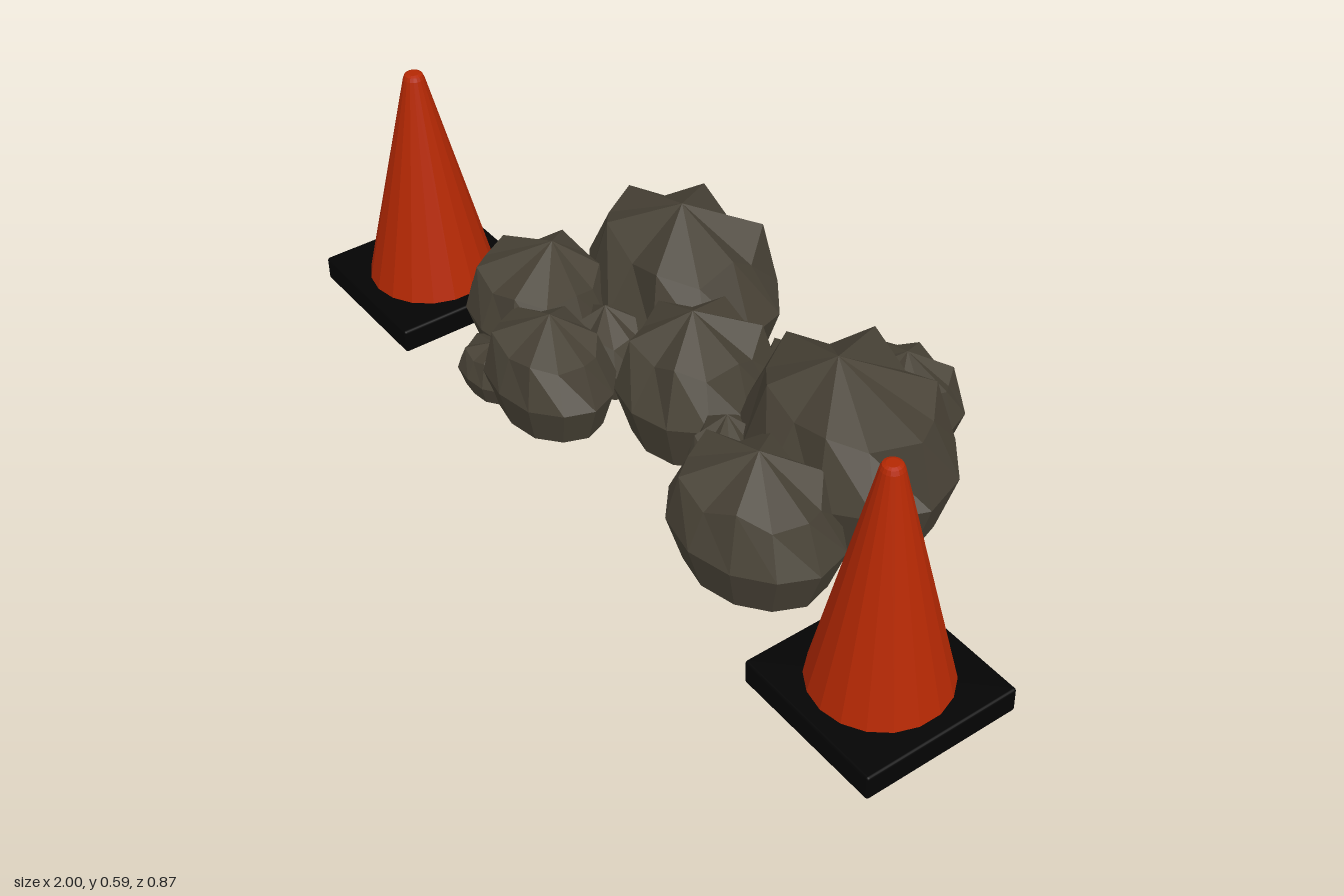
import * as THREE from 'three';
import { RoundedBoxGeometry } from 'three/addons/geometries/RoundedBoxGeometry.js';

// small seeded generator for the rock facets
function seeded(seed) {
  let s = seed * 7919 + 17;
  return () => {
    s = (s * 16807) % 2147483647;
    return s / 2147483647;
  };
}

// Faceted boulder: flat bottom, wide waist, ridged shoulder and a peak
function rockGeometry(rx, rz, height, apexX, apexZ, seed) {
  const sides = 12;
  const rand = seeded(seed);
  for (let i = 0; i < 5; i++) rand();
  const profile = [[0, 0], [0.81, 0], [1, 0.385], [0.77, 0.745], [0, 1]];
  const geo = new THREE.LatheGeometry(profile.map(([r, y]) => new THREE.Vector2(r, y)), sides);
  const column = Array.from({ length: sides }, () => 0.95 + rand() * 0.09);
  // shoulder points alternate between ridge and groove
  const shoulder = Array.from({ length: sides }, (_, k) => {
    const ridge = k % 2 ? 1 : -1;
    return { r: 0.98 + ridge * 0.05 + (rand() - 0.5) * 0.16, y: ridge * 0.05 + (rand() - 0.5) * 0.06 };
  });
  const p = geo.attributes.position;
  for (let i = 0; i < p.count; i++) {
    const ring = i % profile.length;
    const k = Math.floor(i / profile.length) % sides;
    let f = column[k];
    let y = p.getY(i);
    if (ring === 3) {
      f *= shoulder[k].r;
      y += shoulder[k].y;
    }
    const peak = ring === 4;
    p.setXYZ(i, peak ? apexX : p.getX(i) * f * rx, y * height, peak ? apexZ : p.getZ(i) * f * rz);
  }
  geo.computeVertexNormals();
  return geo;
}

export function createModel() {
  const model = new THREE.Group();
  model.name = 'rubbleWithTrafficCones';

  const mat = (name, color, flatShading = false) => {
    const m = new THREE.MeshStandardMaterial({ color, flatShading });
    m.name = name;
    return m;
  };
  const rockMat = mat('rockBrown', 0x484236, true);
  const coneMat = mat('coneOrange', 0xb42803, true);
  const baseMat = mat('rubberBlack', 0x040404);

  // rubble: min x, max x, min z, max z, height, peak x, peak z
  const rocks = [
    [0.09, 0.6, -0.275, 0.155, 0.39, 0.34, -0.03],
    [-0.59, -0.055, -0.325, 0.08, 0.375, -0.3, -0.11],
    [-0.21, 0.155, -0.135, 0.225, 0.32, -0.03, 0.06],
    [-0.675, -0.3, -0.01, 0.315, 0.27, -0.48, 0.12],
    [-0.46, -0.1, 0.13, 0.4, 0.25, -0.28, 0.26],
    [0.16, 0.59, 0.04, 0.375, 0.288, 0.38, 0.2],
    [0.095, 0.375, -0.435, -0.215, 0.195, 0.23, -0.32],
    [-0.015, 0.25, -0.24, -0.03, 0.22, 0.12, -0.14],
    [-0.515, -0.32, 0.25, 0.4, 0.125, -0.41, 0.33],
    [0.09, 0.26, 0.04, 0.21, 0.2, 0.17, 0.12],
    [-0.38, -0.18, 0.01, 0.2, 0.2, -0.29, 0.11],
  ];
  const pile = new THREE.Group();
  pile.name = 'rubblePile';
  rocks.forEach(([x0, x1, z0, z1, h, ax, az], i) => {
    const cx = (x0 + x1) / 2, cz = (z0 + z1) / 2;
    const rock = new THREE.Mesh(
      rockGeometry((x1 - x0) / 2, (z1 - z0) / 2, h, ax - cx, az - cz, i + 1), rockMat);
    rock.name = 'rock' + (i + 1);
    rock.position.set(cx, 0, cz);
    pile.add(rock);
  });
  model.add(pile);

  // traffic cones, one on each side
  const coneProfile = [[0, 0.055], [0.147, 0.055], [0.024, 0.577], [0.02, 0.586], [0.013, 0.589], [0, 0.589]]
    .map(([r, y]) => new THREE.Vector2(r, y));
  const coneGeo = new THREE.LatheGeometry(coneProfile, 18);
  const baseGeo = new RoundedBoxGeometry(0.365, 0.058, 0.365, 2, 0.006);
  for (const side of [-1, 1]) {
    const cone = new THREE.Group();
    cone.name = side > 0 ? 'leftCone' : 'rightCone';
    cone.position.set(side * 0.8175, 0, 0.247);
    const base = new THREE.Mesh(baseGeo, baseMat);
    base.name = 'coneBase';
    base.position.y = 0.029;
    const body = new THREE.Mesh(coneGeo, coneMat);
    body.name = 'coneBody';
    cone.add(base, body);
    model.add(cone);
  }
  return model;
}
